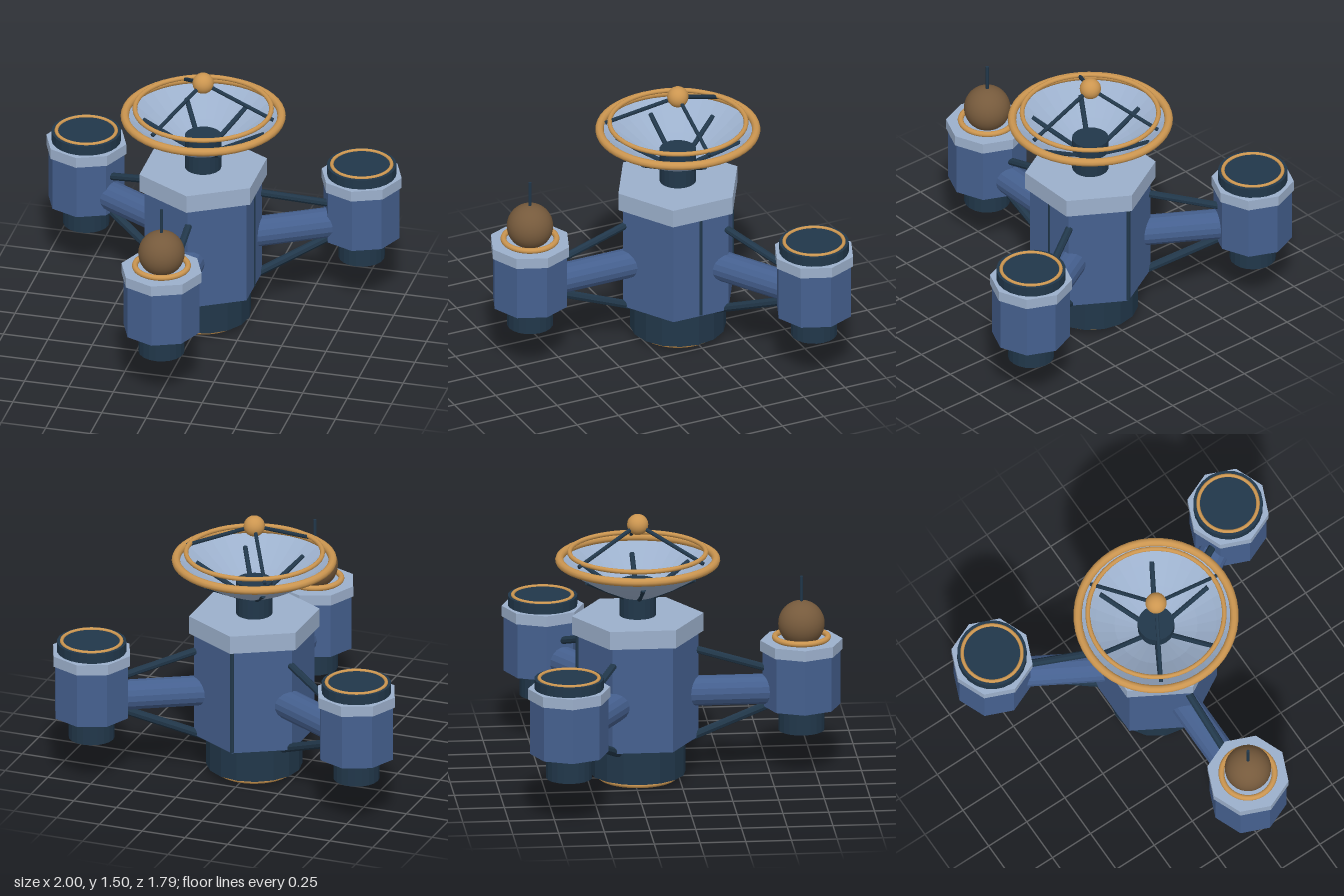
import * as THREE from 'three';

const material = (name, color, extra = {}) => {
  const m = new THREE.MeshStandardMaterial({ color, ...extra });
  m.name = name;
  return m;
};

export function createModel() {
  const blue = material('hull blue', 0x45608f, { flatShading: true });
  const pale = material('pale panel', 0x9cb0cc, { flatShading: true, side: THREE.DoubleSide });
  const dark = material('dark steel', 0x21374a, { flatShading: true });
  const gold = material('gold trim', 0xcc9650);
  const bronze = material('bronze dome', 0x765a3c);

  const add = (parent, name, geometry, mat) => {
    const mesh = new THREE.Mesh(geometry, mat);
    mesh.name = name;
    parent.add(mesh);
    return mesh;
  };
  // Upright prism or cylinder between two heights
  const drum = (parent, name, r, y0, y1, sides, mat) => {
    const mesh = add(parent, name, new THREE.CylinderGeometry(r, r, y1 - y0, sides), mat);
    mesh.position.y = (y0 + y1) / 2;
    return mesh;
  };
  const ring = (parent, name, r, tube, y) => {
    const mesh = add(parent, name, new THREE.TorusGeometry(r, tube, 10, 48), gold);
    mesh.rotation.x = Math.PI / 2;
    mesh.position.y = y;
  };
  const ball = (parent, name, r, y, mat) => {
    add(parent, name, new THREE.SphereGeometry(r, 28, 18), mat).position.y = y;
  };
  // Rod at a compass angle, running from (radius, height) to (radius, height)
  const rod = (parent, name, angle, [r0, y0], [r1, y1], thick, mat, sides = 8) => {
    const s = Math.sin(angle), c = Math.cos(angle);
    const a = new THREE.Vector3(s * r0, y0, c * r0);
    const b = new THREE.Vector3(s * r1, y1, c * r1);
    const dir = b.clone().sub(a);
    const mesh = add(parent, name, new THREE.CylinderGeometry(thick, thick, dir.length(), sides), mat);
    mesh.position.copy(a).add(b).multiplyScalar(0.5);
    mesh.quaternion.setFromUnitVectors(new THREE.Vector3(0, 1, 0), dir.normalize());
  };

  const model = new THREE.Group();
  model.name = 'spaceStation';
  const station = new THREE.Group();
  station.name = 'station';
  station.position.z = -0.224;
  model.add(station);

  // Central hub
  const hub = new THREE.Group();
  hub.name = 'hub';
  station.add(hub);
  drum(hub, 'hubBody', 0.332, 0.225, 0.84, 6, blue);
  drum(hub, 'hubCap', 0.36, 0.825, 0.927, 6, pale);
  drum(hub, 'hubBase', 0.262, 0.035, 0.23, 16, dark);
  drum(hub, 'baseFloor', 0.2, 0.012, 0.04, 24, dark);
  ring(hub, 'baseRing', 0.207, 0.016, 0.018);
  drum(hub, 'neck', 0.1, 0.92, 1.12, 20, dark);
  // Thin conduits up the hub
  rod(hub, 'conduit', Math.PI, [0.328, 0.23], [0.328, 0.83], 0.012, dark);
  rod(hub, 'conduit', Math.PI / 2, [0.284, 0.23], [0.284, 0.83], 0.01, dark);

  // Dish with rims, ribs and feed
  const dish = new THREE.Group();
  dish.name = 'dish';
  station.add(dish);
  const profile = [[0.09, 1.036], [0.226, 1.1], [0.33, 1.162], [0.425, 1.225]]
    .map(([r, y]) => new THREE.Vector2(r, y));
  add(dish, 'dishBowl', new THREE.LatheGeometry(profile, 32), pale);
  ring(dish, 'outerRim', 0.427, 0.023, 1.24);
  ring(dish, 'innerRim', 0.372, 0.013, 1.283);
  for (let i = 0; i < 6; i++) {
    const angle = Math.PI / 2 + (i * Math.PI) / 3;
    rod(dish, 'dishRib', angle, [0.07, 1.03], [0.34, 1.17], 0.014, dark);
    if (i % 2 === 0) rod(dish, 'feedStrut', angle, [0.395, 1.265], [0, 1.44], 0.011, dark);
  }
  ball(dish, 'feedBall', 0.058, 1.44, gold);

  // Three outer pods with arms and braces
  for (let i = 0; i < 3; i++) {
    const angle = (i * Math.PI * 2) / 3;
    rod(station, 'arm', angle, [0.22, 0.485], [0.8, 0.485], 0.083, blue, 16);
    rod(station, 'upperBrace', angle, [0.29, 0.73], [0.75, 0.59], 0.021, dark);
    rod(station, 'lowerBrace', angle, [0.22, 0.195], [0.76, 0.415], 0.024, dark);

    const pod = new THREE.Group();
    pod.name = 'pod';
    pod.position.set(Math.sin(angle) * 0.895, 0, Math.cos(angle) * 0.895);
    station.add(pod);
    drum(pod, 'podBody', 0.214, 0.39, 0.71, 8, blue);
    drum(pod, 'podCap', 0.225, 0.7, 0.76, 8, pale);
    drum(pod, 'podThruster', 0.126, 0.25, 0.4, 20, dark);
    if (i === 0) {
      // Front pod carries the sensor dome
      ring(pod, 'domeRing', 0.145, 0.016, 0.775);
      ball(pod, 'sensorDome', 0.127, 0.853, bronze);
      drum(pod, 'antenna', 0.009, 0.96, 1.12, 8, dark);
    } else {
      // Rear pods carry docking hatches
      drum(pod, 'hatch', 0.19, 0.75, 0.815, 24, dark);
      ring(pod, 'hatchRing', 0.163, 0.01, 0.815);
    }
  }
  return model;
}
